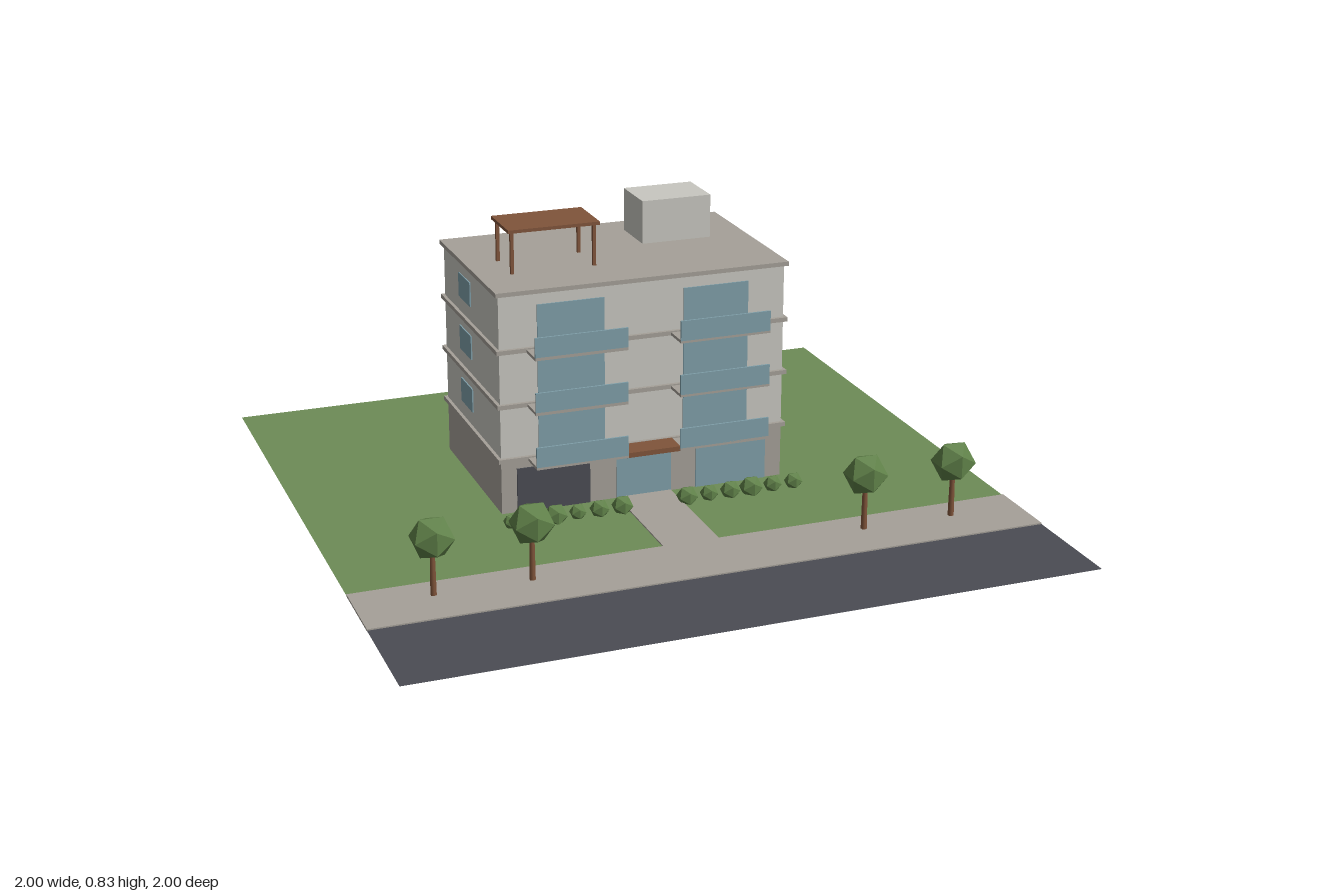
import * as THREE from 'three';

const mat = (name, color, extra = {}) => {
  const m = new THREE.MeshStandardMaterial({ color, ...extra });
  m.name = name;
  return m;
};

export function createModel() {
  const M = {
    grass: mat('grass', 0x6d8b56, { side: THREE.DoubleSide }),
    asphalt: mat('asphalt', 0x4a4c53, { side: THREE.DoubleSide }),
    stone: mat('stone', 0xa5a098),
    wall: mat('wall', 0xc8c7c0),
    glass: mat('glass', 0x7f9fa9),
    wood: mat('wood', 0x80543a),
    leaf: mat('foliage', 0x5f8048, { flatShading: true }),
  };
  const model = new THREE.Group();
  model.name = 'apartmentBlock';

  const add = (name, geometry, material, x, y, z, parent = model) => {
    const mesh = new THREE.Mesh(geometry, material);
    mesh.name = name;
    mesh.position.set(x, y, z);
    parent.add(mesh);
    return mesh;
  };
  // Box given by its extents along each axis
  const box = (name, material, [x0, x1], [y0, y1], [z0, z1], parent) =>
    add(name, new THREE.BoxGeometry(x1 - x0, y1 - y0, z1 - z0), material,
      (x0 + x1) / 2, (y0 + y1) / 2, (z0 + z1) / 2, parent);
  const group = (name) => {
    const g = new THREE.Group();
    g.name = name;
    model.add(g);
    return g;
  };

  // Site: lawn, road, pavement and entrance path
  const G = 0.013;
  const plane = (name, material, z0, z1) =>
    add(name, new THREE.PlaneGeometry(2, z1 - z0).rotateX(-Math.PI / 2), material, 0, G, (z0 + z1) / 2);
  plane('lawn', M.grass, -1, 0.665);
  plane('road', M.asphalt, 0.665, 1);
  box('pavement', M.stone, [-1, 1], [G - 0.002, G + 0.004], [0.44, 0.668]);
  box('entrancePath', M.stone, [-0.085, 0.085], [G - 0.002, G + 0.004], [0.06, 0.44]);

  // Main volume
  const front = 0.056, back = -0.5, half = 0.442;
  box('groundFloor', M.stone, [-half, half], [G - 0.002, 0.174], [back, front]);
  box('upperFloors', M.wall, [-half, half], [0.174, 0.684], [back, front]);
  for (const y of [0.174, 0.341, 0.507, 0.68]) {
    box('floorSlab', M.stone, [-0.452, 0.452], [y, y + 0.013], [-0.513, 0.067]);
  }

  // Ground floor openings
  const face = [front - 0.002, front + 0.004];
  box('garageDoor', M.asphalt, [-0.395, -0.17], [G, 0.15], face);
  box('entranceDoor', M.glass, [-0.087, 0.085], [G, 0.162], face);
  box('shopWindow', M.glass, [0.165, 0.39], [G, 0.15], face);
  box('entranceCanopy', M.wood, [-0.084, 0.084], [0.171, 0.186], [0.055, 0.141]);

  // Upper floors: glazed doors, balconies, side and back windows
  [0.187, 0.354, 0.52].forEach((y, i) => {
    const floor = group('floor' + (i + 1));
    for (const s of [-1, 1]) {
      const span = (a, b) => (s > 0 ? [a, b] : [-b, -a]);
      box('balconyDoor', M.glass, span(0.123, 0.327), [y, y + 0.125], face, floor);
      box('balconySlab', M.stone, span(0.081, 0.362), [y - 0.013, y - 0.004], [front, 0.147], floor);
      box('balconyRailing', M.glass, span(0.081, 0.362), [y - 0.006, y + 0.055], [0.141, 0.147], floor);
      box('sideWindow', M.glass, span(half - 0.002, half + 0.004), [y + 0.047, y + 0.121], [-0.335, -0.217], floor);
      box('backWindow', M.glass, span(0.15, 0.29), [y + 0.047, y + 0.121], [back - 0.004, back + 0.002], floor);
    }
  });

  // Roof: stair house and pergola
  box('stairHouse', M.wall, [0.112, 0.332], [0.69, 0.826], [-0.42, -0.256]);
  const pergola = group('pergola');
  box('pergolaRoof', M.wood, [-0.364, -0.084], [0.818, 0.828], [-0.254, -0.086], pergola);
  for (const x of [-0.35, -0.098]) {
    for (const z of [-0.24, -0.1]) {
      box('pergolaPost', M.wood, [x - 0.005, x + 0.005], [0.69, 0.82], [z - 0.005, z + 0.005], pergola);
    }
  }

  // Street trees
  const trunk = new THREE.CylinderGeometry(0.007, 0.009, 0.14, 6);
  const crown = new THREE.IcosahedronGeometry(0.065, 0);
  for (const x of [-0.78, -0.5, 0.5, 0.78]) {
    const tree = group('tree');
    add('trunk', trunk, M.wood, x, G + 0.07, 0.525, tree);
    add('crown', crown, M.leaf, x, 0.185, 0.525, tree);
  }

  // Hedge of small bushes on both sides of the entrance
  const bushes = [
    [-0.445, 0.024], [-0.375, 0.03], [-0.31, 0.036], [-0.242, 0.026], [-0.175, 0.03], [-0.104, 0.033],
    [0.1, 0.033], [0.17, 0.028], [0.238, 0.031], [0.305, 0.036], [0.375, 0.028], [0.443, 0.028],
  ];
  const hedge = group('hedge');
  for (const [x, r] of bushes) {
    add('bush', new THREE.IcosahedronGeometry(r, 0), M.leaf, x, 0.0306, 0.155, hedge);
  }
  return model;
}
